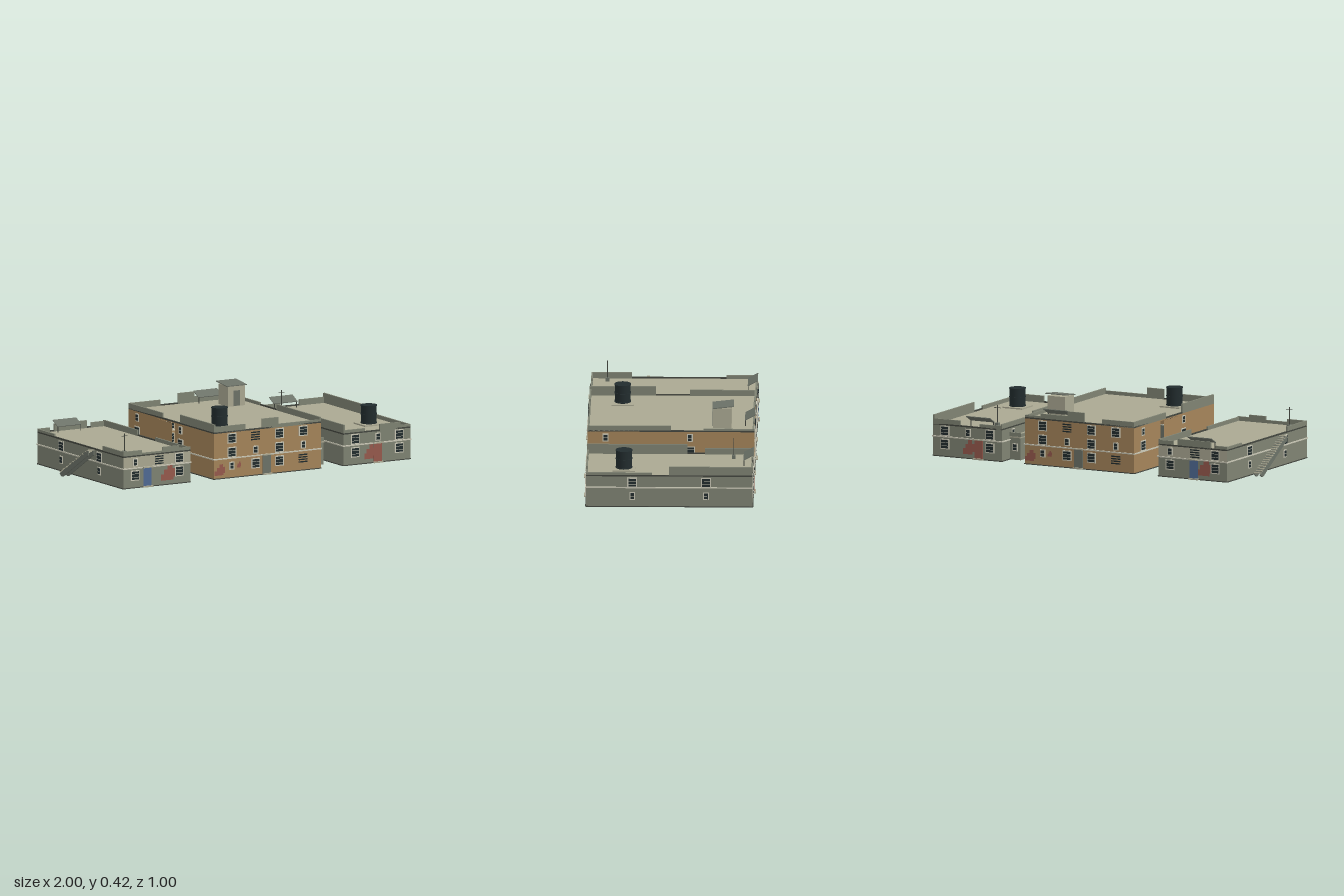
import * as THREE from 'three';

const mat = (name, color, side = THREE.FrontSide) => {
  const m = new THREE.MeshStandardMaterial({ color, side });
  m.name = name;
  return m;
};
const M = {
  plaster: mat('pale plaster', 0xaaa892, THREE.DoubleSide),
  olive: mat('olive plaster', 0x7f8373, THREE.DoubleSide),
  ochre: mat('ochre plaster', 0xa5845a, THREE.DoubleSide),
  trim: mat('light trim', 0xc9c7b5),
  glass: mat('dark glass', 0x222c2e),
  red: mat('brick red', 0x96594c, THREE.DoubleSide),
  blue: mat('blue paint', 0x506a94),
  grey: mat('grey metal', 0x6c7268),
  dark: mat('dark edge', 0x43463f),
};
const BASE = 0.015, BAND = 0.133, DEPTH = 0.97;

function add(parent, name, geo, material, x = 0, y = 0, z = 0) {
  const m = new THREE.Mesh(geo, material);
  m.name = name;
  m.position.set(x, y, z);
  parent.add(m);
  return m;
}
const box = (p, name, material, w, h, d, x, y, z) =>
  add(p, name, new THREE.BoxGeometry(w, h, d), material, x, y, z);

// Slatted or framed window, visible from both sides of the wall
function windowUnit(side, kind, x, y) {
  const g = new THREE.Group();
  g.name = kind + 'Window';
  g.position.set(x, y, 0);
  side.add(g);
  const [w, h] = kind === 'small' ? [0.034, 0.046] : [0.058, 0.06];
  if (kind === 'vent') {
    for (let i = 0; i < 4; i++) box(g, 'ventSlat', M.glass, w, 0.007, 0.008, 0, (i - 1.5) * 0.014, 0);
    return;
  }
  box(g, 'windowFrame', M.trim, w, h, 0.009, 0, 0, 0);
  box(g, 'windowGlass', M.glass, w - 0.012, h - 0.012, 0.012, 0, 0, 0);
  const bars = kind === 'small' ? 1 : 2;
  for (let i = 1; i <= bars; i++)
    box(g, 'windowBar', M.trim, w - 0.012, 0.0025, 0.014, 0, h * (i / (bars + 1) - 0.5), 0);
}

// Door with step and small canopy
function door(side, x, material) {
  box(side, 'door', material, 0.054, 0.115, 0.01, x, BASE + 0.0575, 0);
  box(side, 'doorCanopy', M.plaster, 0.064, 0.007, 0.015, x, BAND, 0.0075);
  box(side, 'doorStep', M.plaster, 0.064, 0.008, 0.015, x, BASE + 0.004, 0.0075);
}

// Ragged patch of exposed brick
function brickPatch(side, x, y, w, h) {
  const pts = [[-.5, -.5], [.35, -.5], [.35, -.3], [.5, -.3], [.5, .25], [.3, .25], [.3, .5], [-.05, .5], [-.05, .2], [-.3, .2], [-.3, -.1], [-.5, -.1]];
  const s = new THREE.Shape(pts.map(([a, b]) => new THREE.Vector2(a * w, b * h)));
  for (const z of [0.004, -0.004]) add(side, 'brickPatch', new THREE.ShapeGeometry(s), M.red, x, y, z);
}

// Wall sheet from y0 to y1, with an optional opening [x, width]
function wall(side, w, y0, y1, material, opening) {
  const s = new THREE.Shape().moveTo(-w / 2, y0).lineTo(w / 2, y0).lineTo(w / 2, y1).lineTo(-w / 2, y1);
  if (opening) {
    const [x, ow] = opening, a = x - ow / 2, b = x + ow / 2, lo = y0 + 0.006, hi = y1 - 0.006;
    s.holes.push(new THREE.Path().moveTo(a, lo).lineTo(a, hi).lineTo(b, hi).lineTo(b, lo));
    add(side, 'bayPanel', new THREE.PlaneGeometry(ow, y1 - y0), material, x, (y0 + y1) / 2, 0.022);
    windowUnit(side, 'large', x, y1 - 0.045);
  }
  add(side, 'wall', new THREE.ShapeGeometry(s), material);
}

// Open-bottomed building with four wall sides facing local +z
function building(root, name, cx, w, top, lower, upperOf, bays) {
  const g = new THREE.Group();
  g.name = name;
  g.position.x = cx;
  root.add(g);
  const sides = {};
  const defs = { front: [0, w, DEPTH], back: [Math.PI, w, DEPTH], left: [Math.PI / 2, DEPTH, w], right: [-Math.PI / 2, DEPTH, w] };
  for (const key in defs) {
    const [turn, len, across] = defs[key];
    const s = sides[key] = new THREE.Group();
    s.name = key + 'Side';
    s.rotation.y = turn;
    s.position.set(Math.sin(turn) * across / 2, 0, Math.cos(turn) * across / 2);
    g.add(s);
    wall(s, len, BASE, BAND, lower);
    wall(s, len, BAND, top, upperOf(key), bays[key]);
    box(s, 'floorBand', M.trim, len + 0.01, 0.007, 0.01, 0, BAND, 0.001);
    box(s, 'baseEdge', M.dark, len, 0.005, 0.008, 0, BASE + 0.0025, 0);
    box(s, 'roofEdge', M.dark, len, 0.008, 0.008, 0, top + 0.004, -0.004);
  }
  add(g, 'roof', new THREE.PlaneGeometry(w, DEPTH).rotateX(-Math.PI / 2), M.plaster, 0, top, 0);
  return { g, sides, top };
}

// Parapet pieces: [from, to, top] along a side
function parapet(b, key, pieces) {
  for (const [a, c, y] of pieces)
    box(b.sides[key], 'parapet', M.olive, c - a, y - b.top, 0.01, (a + c) / 2, (y + b.top) / 2, -0.005);
}

function waterTank(b, x, z) {
  box(b.g, 'tankPad', M.plaster, 0.13, 0.008, 0.13, x, b.top + 0.004, z);
  add(b.g, 'waterTank', new THREE.CylinderGeometry(0.046, 0.046, 0.108, 24), M.glass, x, b.top + 0.062, z);
  for (const y of [0.012, 0.064, 0.114])
    add(b.g, 'tankRim', new THREE.CylinderGeometry(0.049, 0.049, 0.005, 24), M.glass, x, b.top + y, z);
}

// Sloped sheet on posts at the back of the roof
function awning(b, x) {
  const sheet = box(b.g, 'awningSheet', M.grey, 0.16, 0.004, 0.065, x, b.top + 0.05, -0.458);
  sheet.rotation.x = 0.5;
  for (const s of [-1, 1]) box(b.g, 'awningPost', M.dark, 0.004, 0.036, 0.004, x + s * 0.075, b.top + 0.018, -0.432);
}

function antenna(b, x, z) {
  box(b.g, 'antennaFoot', M.grey, 0.022, 0.022, 0.022, x, b.top + 0.011, z);
  box(b.g, 'antennaMast', M.dark, 0.004, 0.125, 0.004, x, b.top + 0.0625, z);
  box(b.g, 'antennaArm', M.dark, 0.04, 0.003, 0.003, x, b.top + 0.11, z);
}

// Ground floor annex projecting from a side
function annex(side, x, w, d, material) {
  const g = new THREE.Group();
  g.name = 'annex';
  g.position.set(x, 0, d / 2);
  side.add(g);
  box(g, 'annexBody', material, w, 0.13, d, 0, BASE + 0.065, 0);
  box(g, 'annexRoof', M.plaster, w + 0.008, 0.008, d, 0, 0.149, 0.002);
  for (const s of [-1, 1]) {
    box(g, 'annexParapet', M.olive, 0.007, 0.024, d, s * w / 2, 0.164, 0);
    const end = new THREE.Group();
    end.name = 'annexEnd';
    end.position.x = s * w / 2;
    end.rotation.y = s * Math.PI / 2;
    g.add(end);
    windowUnit(end, 'small', 0, 0.09);
  }
  box(g, 'annexParapet', M.olive, w, 0.018, 0.007, 0, 0.161, d / 2);
  box(g, 'annexCanopy', M.plaster, 0.075, 0.007, 0.012, 0, 0.13, d / 2 + 0.006);
  box(g, 'annexDoor', M.grey, 0.05, 0.1, 0.008, 0, BASE + 0.05, d / 2);
}

export function createModel() {
  const root = new THREE.Group();
  root.name = 'townBlock';
  const L = building(root, 'rightHouse', -0.7275, 0.455, 0.2, M.olive,
    k => (k === 'right' ? M.olive : M.plaster), { left: [-0.21, 0.21] });
  const C = building(root, 'middleHouse', 0.0225, 0.725, 0.285, M.ochre,
    () => M.ochre, { right: [-0.06, 0.21], left: [0.29, 0.18] });
  const R = building(root, 'leftHouse', 0.765, 0.455, 0.2, M.olive,
    () => M.olive, { right: [0.105, 0.21] });

  // Street and rear facades
  for (const key of ['front', 'back']) {
    const l = L.sides[key], c = C.sides[key], r = R.sides[key], back = key === 'back';
    for (const s of [l, r]) {
      windowUnit(s, 'large', -0.148, 0.09);
      windowUnit(s, 'large', 0.15, 0.09);
      windowUnit(s, 'large', 0.15, 0.168);
    }
    windowUnit(l, 'small', -0.148, 0.168);
    windowUnit(l, 'vent', 0.015, 0.168);
    windowUnit(r, 'large', -0.148, 0.168);
    windowUnit(r, 'small', 0.005, 0.168);
    door(l, back ? 0.01 : -0.065, M.blue);
    door(r, back ? 0.075 : 0.005, M.red);
    brickPatch(l, back ? 0.08 : 0.075, 0.088, 0.1, 0.09);
    brickPatch(r, back ? 0.01 : -0.05, 0.085, 0.075, 0.085);

    const rows = [['small', 'large', 'large', 'vent'], ['large', 'small', 'large', 'small'], ['large', 'vent', 'large', 'large']];
    rows.forEach((row, j) => row.forEach((kind, i) =>
      windowUnit(c, kind, -0.243 + i * 0.1615, [0.088, 0.168, 0.25][j])));
    door(c, -0.005, M.grey);
    brickPatch(c, -0.325, 0.07, 0.07, 0.065);
    brickPatch(c, -0.195, 0.09, 0.03, 0.035);
  }

  // Side windows
  for (const s of [R.sides.left, L.sides.right]) for (const x of [-0.215, 0.215]) {
    windowUnit(s, 'large', x, 0.163);
    windowUnit(s, 'small', x, 0.082);
  }
  for (const s of [C.sides.left, C.sides.right]) for (const x of [-0.38, 0.11]) {
    windowUnit(s, 'large', x, 0.168);
    windowUnit(s, 'small', x, 0.25);
  }
  for (const x of [0.1, 0.35]) windowUnit(L.sides.left, 'small', x, 0.17);
  for (const x of [-0.1, -0.35]) windowUnit(R.sides.right, 'small', x, 0.17);

  // Annexes in the alleys
  annex(L.sides.left, 0.155, 0.245, 0.08, M.plaster);
  annex(C.sides.left, -0.265, 0.22, 0.085, M.olive);
  annex(R.sides.right, -0.275, 0.22, 0.07, M.olive);

  // Broken parapets
  const h = DEPTH / 2;
  parapet(R, 'left', [[-h, -0.1, 0.222], [0, h, 0.258]]);
  parapet(R, 'right', [[-h, -0.2, 0.235], [-0.1, h, 0.258]]);
  parapet(R, 'front', [[-0.227, -0.08, 0.225], [0.02, 0.16, 0.24], [0.16, 0.227, 0.222]]);
  parapet(R, 'back', [[-0.227, -0.05, 0.235], [0.08, 0.227, 0.225]]);
  parapet(L, 'right', [[-h, -0.3, 0.222], [0.25, h, 0.235]]);
  parapet(L, 'left', [[-h, -0.1, 0.222], [0.1, h, 0.235]]);
  parapet(L, 'front', [[-0.227, -0.1, 0.235], [-0.1, 0.04, 0.218], [0.04, 0.15, 0.24], [0.15, 0.227, 0.225]]);
  parapet(L, 'back', [[-0.227, -0.13, 0.23], [-0.1, 0.12, 0.245], [0.15, 0.227, 0.225]]);
  parapet(C, 'left', [[-h, 0, 0.32], [0.19, h, 0.303]]);
  parapet(C, 'right', [[-h, -0.1, 0.32], [0.1, h, 0.34]]);
  parapet(C, 'front', [[-0.362, -0.15, 0.325], [-0.035, 0.075, 0.345], [0.075, 0.362, 0.305]]);
  parapet(C, 'back', [[-0.362, -0.26, 0.305], [-0.26, -0.08, 0.32], [-0.08, 0.03, 0.348], [0.15, 0.362, 0.32]]);

  // Roof furniture
  waterTank(C, -0.2075, 0.29);
  waterTank(R, 0.077, 0.265);
  awning(L, -0.045);
  awning(C, 0.16);
  awning(R, -0.07);
  antenna(L, -0.163, 0.39);
  antenna(R, -0.135, -0.37);

  // Roof access hut
  const hut = new THREE.Group();
  hut.name = 'roofHut';
  hut.position.set(0.2275, C.top, -0.297);
  C.g.add(hut);
  box(hut, 'hutBody', M.plaster, 0.115, 0.12, 0.108, 0, 0.06, 0);
  box(hut, 'hutDoor', M.grey, 0.045, 0.09, 0.006, 0, 0.047, 0.054);
  box(hut, 'hutRoof', M.grey, 0.135, 0.005, 0.125, 0, 0.128, -0.005).rotation.x = 0.11;

  // Outside stairs rising toward the front
  const stairs = new THREE.Group();
  stairs.name = 'outsideStairs';
  root.add(stairs);
  const steps = 18, run = 0.325 / steps, rise = 0.183 / steps;
  for (let i = 0; i < steps; i++)
    box(stairs, 'stairTread', M.plaster, 0.043, 0.005, run * 0.92, -0.9785, 0.0145 + (i + 1) * rise, -0.163 + (i + 0.5) * run);
  const profile = new THREE.Shape().moveTo(0.163, 0.015).lineTo(0.14, 0).lineTo(0.125, 0).lineTo(-0.162, 0.17).lineTo(-0.162, 0.195).lineTo(-0.145, 0.195);
  for (const x of [-1, -0.963]) {
    const geo = new THREE.ExtrudeGeometry(profile, { depth: 0.006, bevelEnabled: false }).rotateY(Math.PI / 2);
    add(stairs, 'stairStringer', geo, M.grey, x, 0, 0);
  }
  return root;
}
